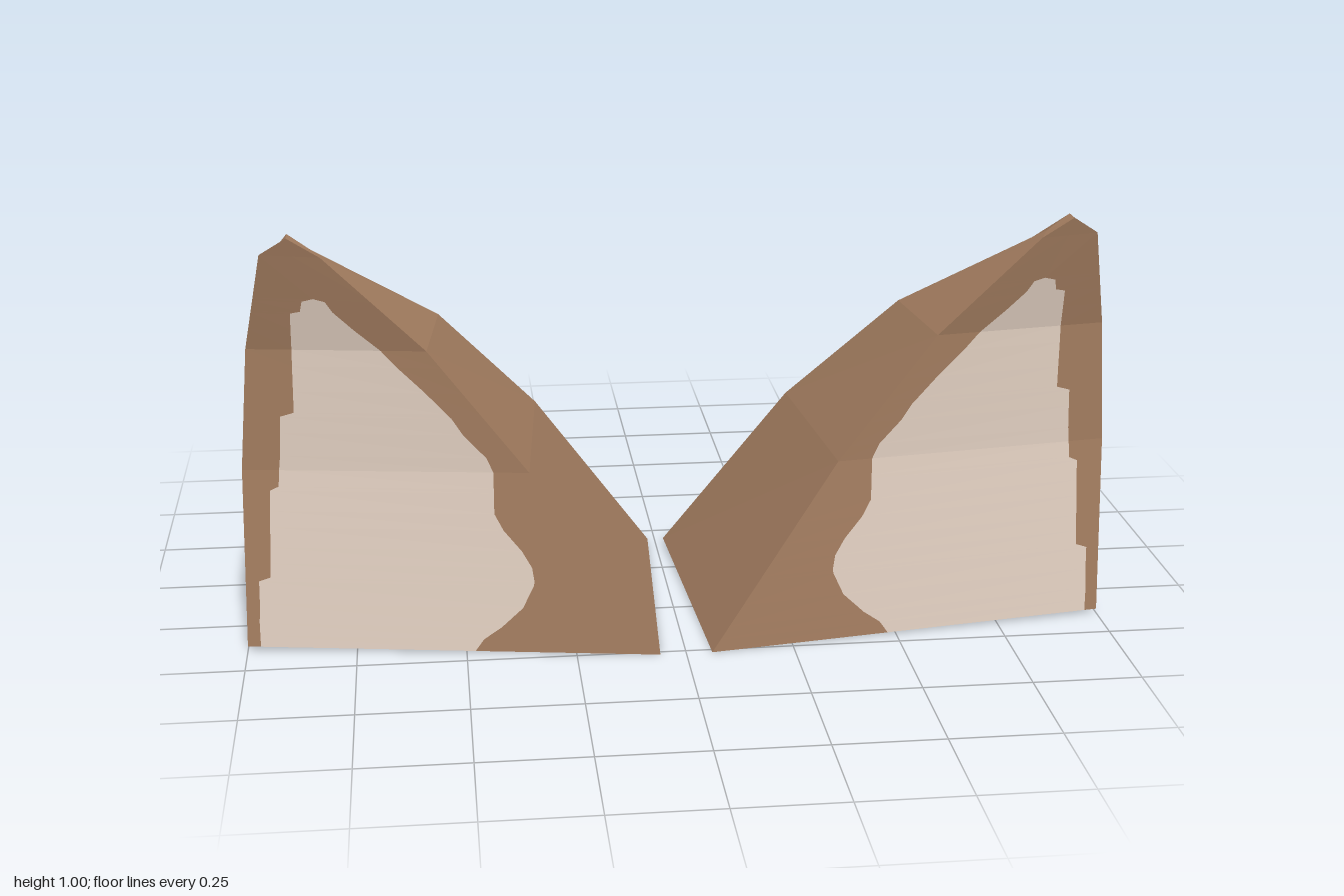
import * as THREE from 'three';

// Cross-sections of the left ear, each with five corners:
// front inner, inner, back, back outer, front outer
const levels = [0, 0.44, 0.73, 0.96];
const rings = [
  [[0.06, 0, 0.515], [0.02, 0.01, -0.17], [0.31, 0.01, -0.515], [0.73, 0.01, -0.37], [1, 0.01, 0.39]],
  [[0.35, 0.44, 0.475], [0.31, 0.44, -0.03], [0.58, 0.44, -0.25], [0.83, 0.44, -0.155], [0.99, 0.44, 0.385]],
  [[0.57, 0.73, 0.47], [0.54, 0.73, 0.18], [0.72, 0.73, 0.045], [0.88, 0.73, 0.11], [0.965, 0.73, 0.41]],
  [[0.79, 0.955, 0.497], [0.81, 0.965, 0.465], [0.86, 1, 0.46], [0.89, 0.96, 0.44], [0.92, 0.96, 0.48]],
];
const apex = [0.86, 1, 0.5];

// Inner-ear patch: height, inner x, outer x
const patch = [
  [0, 0.48, 0.97], [0.03, 0.46, 0.97], [0.06, 0.42, 0.97], [0.11, 0.37, 0.967],
  [0.165, 0.345, 0.966], [0.175, 0.343, 0.94], [0.21, 0.348, 0.938], [0.25, 0.37, 0.936],
  [0.3, 0.41, 0.934], [0.34, 0.43, 0.932], [0.39, 0.43, 0.93], [0.4, 0.43, 0.91],
  [0.44, 0.43, 0.907], [0.475, 0.445, 0.903], [0.53, 0.495, 0.9], [0.57, 0.52, 0.898],
  [0.58, 0.53, 0.867], [0.63, 0.575, 0.866], [0.69, 0.635, 0.865], [0.73, 0.67, 0.864],
  [0.78, 0.725, 0.863], [0.82, 0.765, 0.862], [0.825, 0.77, 0.84], [0.85, 0.785, 0.835],
  [0.857, 0.81, 0.81], [0.96, 0.85, 0.85],
];

const mix = (a, b, t) => a.map((v, i) => v + (b[i] - v) * t);

// Point on a corner's edge line at a given height
function edgeAt(corner, y) {
  let i = 0;
  while (i < levels.length - 2 && y > levels[i + 1]) i++;
  const t = (y - levels[i]) / (levels[i + 1] - levels[i]);
  return mix(rings[i][corner], rings[i + 1][corner], t);
}

// Collects flat faces; mirror flips both x and the corner order
function faceList(mirror) {
  const pos = [];
  const tri = (a, b, c) => {
    const [va, vb, vc] = [a, b, c].map((p) => new THREE.Vector3(...p));
    if (vb.sub(va).cross(vc.sub(va)).length() < 1e-8) return;
    for (const p of mirror ? [a, c, b] : [a, b, c]) pos.push(mirror ? -p[0] : p[0], p[1], p[2]);
  };
  const quad = (a, b, c, d) => { tri(a, b, c); tri(a, c, d); };
  const mesh = (material, name) => {
    const geometry = new THREE.BufferGeometry();
    geometry.setAttribute('position', new THREE.Float32BufferAttribute(pos, 3));
    geometry.computeVertexNormals();
    const m = new THREE.Mesh(geometry, material);
    m.name = name;
    return m;
  };
  return { tri, quad, mesh };
}

function makeEar(mirror, fur, inner) {
  const shell = faceList(mirror);
  const lining = faceList(mirror);

  // Sides and back
  for (let r = 0; r < 3; r++) {
    for (let k = 0; k < 4; k++) {
      shell.quad(rings[r][k + 1], rings[r][k], rings[r + 1][k], rings[r + 1][k + 1]);
    }
  }
  // Tip and underside
  const base = rings[0], top = rings[3];
  for (let k = 0; k < 5; k++) shell.tri(top[(k + 1) % 5], top[k], apex);
  for (let k = 1; k < 4; k++) shell.tri(base[0], base[k], base[k + 1]);

  // Front: fur border on both sides of the lining
  const rows = patch.map(([y, x0, x1]) => {
    const a = edgeAt(0, y), e = edgeAt(4, y);
    const at = (x) => mix(a, e, (x - a[0]) / (e[0] - a[0]));
    return [a, at(x0), at(x1), e];
  });
  for (let i = 0; i < rows.length - 1; i++) {
    const lo = rows[i], hi = rows[i + 1];
    for (let k = 0; k < 3; k++) {
      (k === 1 ? lining : shell).quad(lo[k], lo[k + 1], hi[k + 1], hi[k]);
    }
  }

  const ear = new THREE.Group();
  ear.name = mirror ? 'rightEar' : 'leftEar';
  ear.add(shell.mesh(fur, 'earShell'), lining.mesh(inner, 'innerEar'));
  return ear;
}

export function createModel() {
  const fur = new THREE.MeshStandardMaterial({ color: 0xa78062 });
  fur.name = 'brownFur';
  const inner = new THREE.MeshStandardMaterial({ color: 0xebd8c9 });
  inner.name = 'paleInnerEar';

  const model = new THREE.Group();
  model.name = 'ears';
  model.add(makeEar(false, fur, inner), makeEar(true, fur, inner));
  return model;
}
